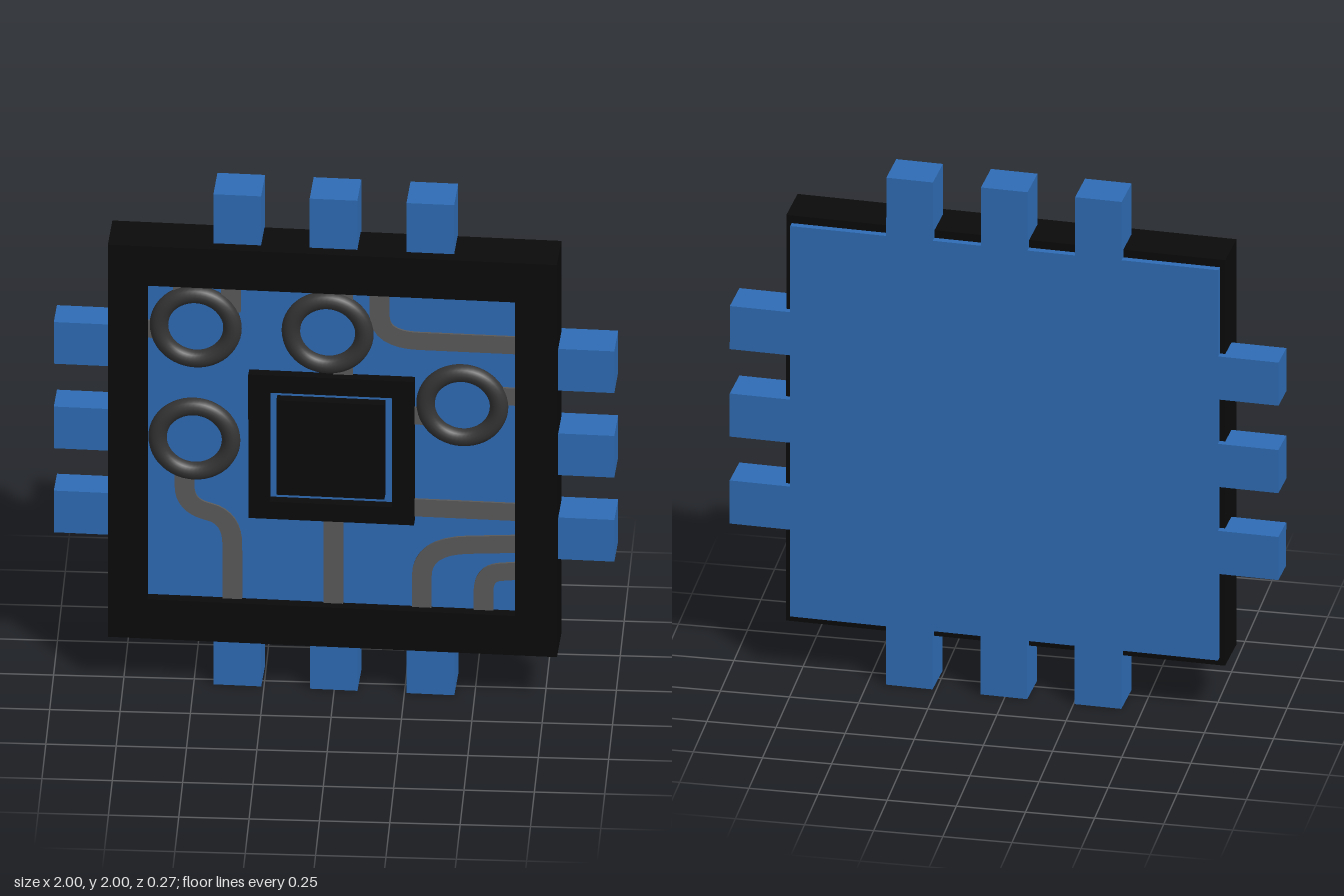
import * as THREE from 'three';

const mat = (color) => new THREE.MeshStandardMaterial({ color });

export function createModel() {
  const root = new THREE.Group();
  root.name = 'microchip';
  // The whole chip leans very slightly; parts are laid out around its centre.
  const chip = new THREE.Group();
  chip.name = 'chipBody';
  chip.position.y = 1;
  chip.rotation.set(0.0035, -0.037, 0);
  root.add(chip);

  const blue = mat(0x2f6cb5), black = mat(0x0a0a0a), grey = mat(0x5a5a5a), dark = mat(0x343434);
  const FLOOR = 0.06, FRONT = 0.1, BACK = -0.1;

  const add = (name, geometry, material) => {
    const mesh = new THREE.Mesh(geometry, material);
    mesh.name = name;
    chip.add(mesh);
    return mesh;
  };
  const box = (name, x0, x1, y0, y1, z0, z1, material) => {
    const g = new THREE.BoxGeometry(x1 - x0, y1 - y0, z1 - z0);
    g.translate((x0 + x1) / 2, (y0 + y1) / 2, (z0 + z1) / 2);
    return add(name, g, material);
  };
  const rect = (target, x0, x1, y0, y1) => {
    target.moveTo(x0, y0).lineTo(x1, y0).lineTo(x1, y1).lineTo(x0, y1).closePath();
    return target;
  };
  // Rectangular ring: outer and inner are [x0, x1, y0, y1].
  const frame = (name, outer, inner, z0, z1) => {
    const shape = rect(new THREE.Shape(), ...outer);
    shape.holes.push(rect(new THREE.Path(), ...inner));
    const g = new THREE.ExtrudeGeometry(shape, { depth: z1 - z0, bevelEnabled: false });
    add(name, g.translate(0, 0, z0), black);
  };

  // Board, back plate and outer frame
  box('board', -0.67, 0.66, -0.65, 0.65, -0.08, FLOOR, blue);
  box('backPlate', -0.78, 0.78, -0.77, 0.77, BACK, -0.074, blue);
  frame('outerFrame', [-0.8, 0.8, -0.8, 0.8], [-0.66, 0.65, -0.64, 0.64], -0.075, FRONT);

  // Connector pins, three per side
  for (const c of [-0.343, 0, 0.345]) {
    const a = c - 0.085, b = c + 0.085;
    box('topPin', a, b, 0.765, 1, BACK, 0.055, blue);
    box('bottomPin', a, b, -1, -0.765, BACK, 0.055, blue);
    box('leftPin', 0.775, 1, a, b, BACK, 0.05, blue);
    box('rightPin', -1, -0.775, a, b, BACK, 0.022, blue);
  }

  // Central processor: raised rim, groove and core
  frame('processorRim', [-0.3, 0.29, -0.29, 0.295], [-0.225, 0.212, -0.22, 0.225], FLOOR - 0.005, 0.098);
  box('processorCore', -0.2, 0.185, -0.19, 0.195, FLOOR - 0.005, 0.098, black);

  // Ring components
  for (const [x, y] of [[-0.49, 0.465], [-0.02, 0.465], [0.46, 0.193], [-0.495, 0.007]]) {
    const ring = add('ring', new THREE.TorusGeometry(0.131, 0.033, 16, 48), dark);
    ring.position.set(x, y, FLOOR + 0.006);
  }

  // Flat circuit traces: a ribbon offset to both sides of a path with rounded corners
  const trace = (pts, radius = 0.1, half = 0.035) => {
    const v = pts.map(([x, y]) => new THREE.Vector2(x, y));
    const path = new THREE.Path().moveTo(v[0].x, v[0].y);
    for (let i = 1; i < v.length - 1; i++) {
      const toward = (q) => {
        const d = q.clone().sub(v[i]);
        return v[i].clone().addScaledVector(d, Math.min(radius / d.length(), 0.49));
      };
      const p = toward(v[i - 1]), n = toward(v[i + 1]);
      path.lineTo(p.x, p.y).quadraticCurveTo(v[i].x, v[i].y, n.x, n.y);
    }
    const end = v[v.length - 1];
    path.lineTo(end.x, end.y);
    const line = path.getPoints(8);
    const side = (s) => line.map((p, i) => {
      const a = line[Math.max(i - 1, 0)], b = line[Math.min(i + 1, line.length - 1)];
      const t = b.clone().sub(a).normalize();
      return new THREE.Vector2(p.x - t.y * half * s, p.y + t.x * half * s);
    });
    const shape = new THREE.Shape([...side(-1), ...side(1).reverse()]);
    const g = new THREE.ExtrudeGeometry(shape, { depth: 0.012, bevelEnabled: false });
    add('trace', g.translate(0, 0, FLOOR - 0.004), grey);
  };
  trace([[0.165, 0.645], [0.165, 0.445], [0.655, 0.445]], 0.14);
  trace([[0.035, 0.645], [0.035, 0.58]]);
  trace([[0.035, 0.35], [0.035, 0.285]]);
  trace([[-0.535, 0.645], [-0.535, 0.59]]);
  trace([[-0.365, 0.645], [-0.365, 0.53]]);
  trace([[-0.665, 0.445], [-0.61, 0.445]]);
  trace([[-0.53, -0.11], [-0.53, -0.27], [-0.36, -0.31], [-0.36, -0.645]], 0.11);
  trace([[0, -0.285], [0, -0.645]]);
  trace([[0.285, -0.235], [0.655, -0.235]]);
  trace([[0.315, -0.645], [0.315, -0.39], [0.655, -0.365]], 0.17);
  trace([[0.535, -0.645], [0.535, -0.49], [0.655, -0.475]], 0.11);
  trace([[0.285, 0.14], [0.34, 0.14]]);
  trace([[0.59, 0.235], [0.655, 0.235]]);

  return root;
}
